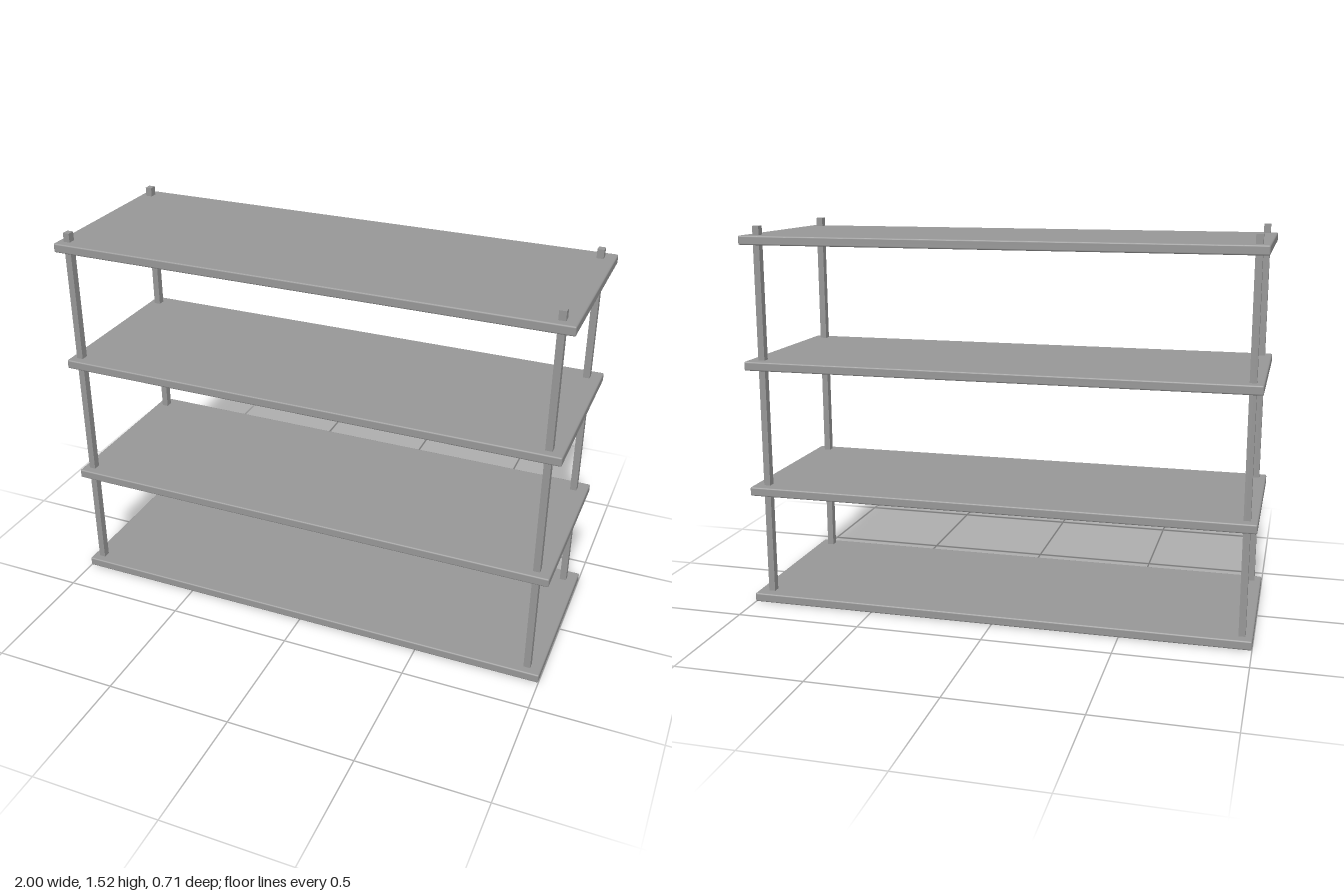
import * as THREE from 'three';
import { RoundedBoxGeometry } from 'three/addons/geometries/RoundedBoxGeometry.js';

const WIDTH = 2, DEPTH = 0.714, THICK = 0.036, EDGE = 0.006;

export function createModel() {
  const model = new THREE.Group();
  model.name = 'shelvingUnit';
  const material = new THREE.MeshStandardMaterial({ color: 0x969696 });

  // Four shelves with slightly eased edges
  const board = new RoundedBoxGeometry(WIDTH, THICK, DEPTH, 2, EDGE).translate(0, THICK / 2, 0);
  [0.002, 0.452, 0.963, 1.453].forEach((y, i) => {
    const shelf = new THREE.Mesh(board, material);
    shelf.name = `shelf${i + 1}`;
    shelf.position.y = y;
    model.add(shelf);
  });

  // Four square posts running through the shelves and out of the top
  const height = 1.524;
  const postGeometry = new THREE.BoxGeometry(0.026, height, 0.03).translate(0, height / 2, 0);
  for (const [xName, x] of [['Left', 0.945], ['Right', -0.96]]) {
    for (const [zName, z] of [['front', 0.31], ['back', -0.3]]) {
      const post = new THREE.Mesh(postGeometry, material);
      post.name = `${zName}${xName}Post`;
      post.position.set(x, 0, z);
      model.add(post);
    }
  }
  return model;
}
